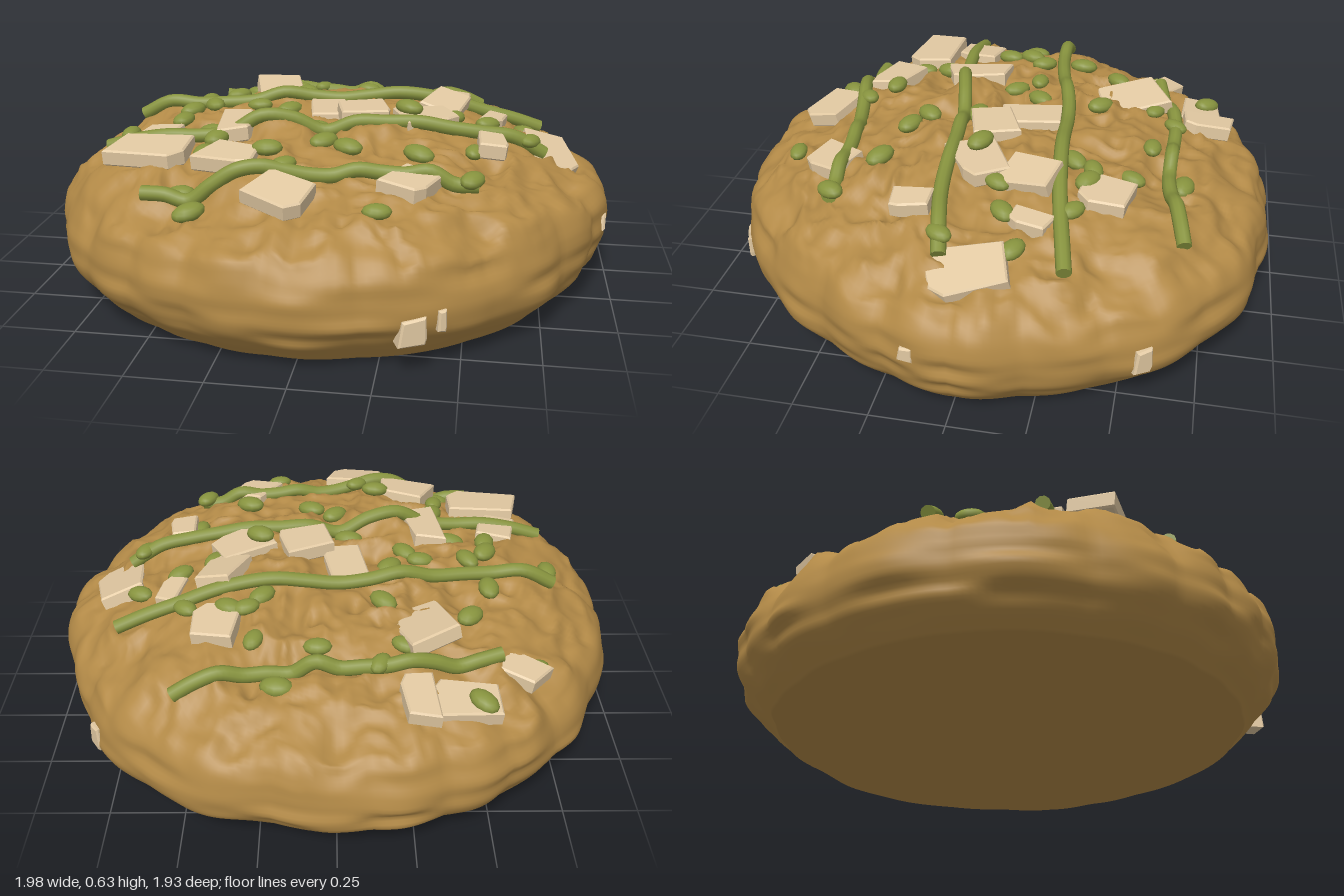
import * as THREE from 'three';
import { mergeVertices } from 'three/addons/utils/BufferGeometryUtils.js';

const mat = (name, color, extra = {}) => {
  const m = new THREE.MeshStandardMaterial({ color, ...extra });
  m.name = name;
  return m;
};

// Seeded hash and smooth 3D value noise in -1..1
const hash = (x, y, z) => {
  const s = Math.sin(x * 127.1 + y * 311.7 + z * 74.7) * 43758.5453;
  return s - Math.floor(s);
};
function noise(x, y, z) {
  const ix = Math.floor(x), iy = Math.floor(y), iz = Math.floor(z);
  const f = (t) => t * t * (3 - 2 * t);
  const u = f(x - ix), v = f(y - iy), w = f(z - iz);
  let sum = 0;
  for (let i = 0; i < 8; i++) {
    const a = i & 1, b = (i >> 1) & 1, c = i >> 2;
    sum += hash(ix + a, iy + b, iz + c) * (a ? u : 1 - u) * (b ? v : 1 - v) * (c ? w : 1 - w);
  }
  return sum * 2 - 1;
}
const ridge = (x, y, z) => 0.4 - Math.abs(noise(x, y, z));

// Outline radius every 15 degrees, from +x towards +z
const outline = [
  0.985, 0.955, 0.94, 0.94, 0.942, 0.945, 0.957, 0.962, 0.97, 0.985, 0.985, 0.99,
  0.992, 0.98, 0.978, 0.973, 0.985, 0.965, 0.965, 0.955, 0.985, 0.99, 0.975, 0.965,
];
const outlineAt = (a) => {
  const t = ((a / (2 * Math.PI) + 1) % 1) * 24, i = Math.floor(t);
  return THREE.MathUtils.lerp(outline[i % 24], outline[(i + 1) % 24], THREE.MathUtils.smoothstep(t - i, 0, 1));
};

// Broad swells and hollows of the crown: x, z, radius, rise
const swells = [[-0.66, -0.1, 0.18, 0.035], [-0.66, 0.25, 0.16, 0.035], [-0.4, 0.64, 0.1, -0.065], [-0.6, 0.42, 0.12, 0.03]];

// Thick lumpy round with a flat base, fluted sides and a bumpy crown
function doughGeometry() {
  const side = new THREE.CatmullRomCurve3([
    [0.875, 0], [0.935, 0.065], [0.985, 0.16], [0.985, 0.25], [0.94, 0.335], [0.85, 0.395],
    [0.72, 0.445], [0.5, 0.505], [0.25, 0.535], [0, 0.545],
  ].map(([r, y]) => new THREE.Vector3(r, y, 0)));
  const profile = [new THREE.Vector2(0, 0)];
  for (const p of side.getSpacedPoints(100)) profile.push(new THREE.Vector2(Math.max(p.x, 0), Math.max(p.y, 0)));
  let g = new THREE.LatheGeometry(profile, 260);
  g.deleteAttribute('uv');
  g.deleteAttribute('normal');
  g = mergeVertices(g, 1e-5);
  const pos = g.attributes.position;
  for (let i = 0; i < pos.count; i++) {
    const x = pos.getX(i), y = pos.getY(i), z = pos.getZ(i);
    const r = Math.hypot(x, z), a = Math.atan2(z, x), c = Math.cos(a), s = Math.sin(a);
    const rise = THREE.MathUtils.smoothstep(y, 0.2, 0.43);
    const low = THREE.MathUtils.smoothstep(y, 0, 0.14);
    const edge = THREE.MathUtils.smoothstep(r, 0.5, 0.9);
    const flute = 0.36 - Math.abs(Math.sin(10 * a + 1.2 * Math.sin(3 * a)));
    const lobes = -0.018 * flute * (0.4 + 0.3 * low + 1.1 * rise) - 0.006;
    const strata = 0.014 * noise(c * 5, y * 24, s * 5) * low;
    const k = 1 + (outlineAt(a) / 0.985 - 1 + lobes + strata) * edge;
    let bump = 0.06 * ridge(x * 7 + 3, 1.5, z * 7) + 0.03 * noise(x * 5, 7.5, z * 5)
      + 0.036 * ridge(x * 15, 2.5, z * 15) + 0.008 * noise(x * 34, 5.5, z * 34);
    for (const [sx, sz, rad, h] of swells) bump += h * Math.exp(-((x - sx) ** 2 + (z - sz) ** 2) / rad ** 2);
    pos.setXYZ(i, x * k, y + bump * rise, z * k * (0.965 + 0.035 * low));
  }
  g.computeVertexNormals();
  return g;
}

// Irregular bevelled chunk, lying flat with its thickness along y
function chunkGeometry(w, d, seed, thick = 0.045) {
  const corners = [[-1, -1], [0.75, -1], [1, -0.55], [0.95, 1], [-0.85, 1]];
  const shape = new THREE.Shape(corners.map(([u, v], i) => new THREE.Vector2(
    u * (w / 2 - 0.006) * (0.8 + 0.37 * hash(seed, i, 1)),
    v * (d / 2 - 0.006) * (0.8 + 0.37 * hash(seed, i, 2)))));
  const g = new THREE.ExtrudeGeometry(shape, {
    depth: thick, bevelEnabled: true, bevelThickness: 0.006, bevelSize: 0.006, bevelSegments: 1,
  });
  return g.translate(0, 0, -thick / 2).rotateX(-Math.PI / 2);
}

export function createModel() {
  const root = new THREE.Group();
  root.name = 'toppedRound';
  const doughMat = mat('golden brown dough', 0xb38a47);
  const chunkMat = mat('pale nut', 0xe2c9a2, { flatShading: true });
  const greenMat = mat('olive green', 0x87933e);
  const add = (name, geo, m, parent = root) => {
    const mesh = new THREE.Mesh(geo, m);
    mesh.name = name;
    parent.add(mesh);
    return mesh;
  };
  const group = (name) => {
    const g = new THREE.Group();
    g.name = name;
    root.add(g);
    return g;
  };

  const dough = add('dough', doughGeometry(), doughMat);

  // Height of the crown below a point
  const ray = new THREE.Raycaster();
  const height = (x, z) => {
    ray.set(new THREE.Vector3(x, 2, z), new THREE.Vector3(0, -1, 0));
    const hit = ray.intersectObject(dough)[0];
    return hit ? hit.point.y : 0.3;
  };
  const up = new THREE.Vector3(0, 1, 0);
  const lean = (mesh, nx, nz) =>
    mesh.quaternion.setFromUnitVectors(up, new THREE.Vector3(nx, 1, nz).normalize());

  // Nut chunks on the crown: x, z, width, depth, turn, lean in x, lean in z, lift
  const chunks = group('nutChunks');
  [
    [-0.41, -0.69, 0.22, 0.15, 0.05], [-0.26, -0.72, 0.12, 0.18, 0.1], [-0.6, -0.53, 0.17, 0.13, -0.5],
    [-0.29, -0.43, 0.2, 0.25, 0.4, 0.2, 0.15, 0.025], [0.39, -0.41, 0.17, 0.17, -0.1], [0.39, -0.15, 0.15, 0.19, -0.3, 0.2, 0.2],
    [0.57, -0.19, 0.08, 0.13, -0.2], [0.77, -0.01, 0.17, 0.25, 0.25, 0.36, 0.15, -0.01], [-0.04, -0.09, 0.13, 0.23, 0.2],
    [0.1, 0.03, 0.21, 0.16, 0.3], [0.32, 0.03, 0.21, 0.17, 0.5], [-0.33, 0.17, 0.13, 0.22, 0.2],
    [-0.61, 0.22, 0.14, 0.17, -0.15], [-0.58, 0.4, 0.3, 0.17, -0.05, -0.03, 0.1], [-0.28, 0.49, 0.2, 0.16, -0.3],
    [0.32, 0.55, 0.17, 0.15, -0.4], [-0.08, 0.68, 0.19, 0.16, -0.4, 0.05, 0.25], [0.57, 0.2, 0.1, 0.13, 0.1],
  ].forEach(([x, z, w, d, turn, nx = x * 0.2, nz = z * 0.2, lift = 0.01], i) => {
    const m = add('nutChunk', chunkGeometry(w, d, i + 1).rotateY(turn), chunkMat, chunks);
    m.position.set(x, height(x, z) + lift, z);
    lean(m, nx, nz);
  });

  // Small chunks embedded in the side: x, y, z, width, height
  [
    [0.35, 0.15, 0.86, 0.085, 0.09], [0.43, 0.18, 0.825, 0.03, 0.08],
    [0.94, 0.24, 0.12, 0.055, 0.055], [0.78, 0.19, -0.565, 0.06, 0.1],
  ].forEach(([x, y, z, w, h], i) => {
    const m = add('sideChunk', chunkGeometry(w, h, i + 40, 0.06).rotateX(Math.PI / 2), chunkMat, chunks);
    m.position.set(x, y, z);
    m.rotation.y = Math.atan2(x, z);
  });

  // Wavy green strands laid across the crown: x, z
  const strands = group('strands');
  [
    [[-0.54, -0.52], [-0.36, -0.56], [-0.17, -0.6], [0.02, -0.6], [0.2, -0.6], [0.36, -0.63], [0.52, -0.67]],
    [[-0.77, -0.12], [-0.52, -0.13], [-0.3, -0.17], [-0.1, -0.21], [0.2, -0.23], [0.45, -0.26], [0.75, -0.32]],
    [[-0.78, 0.25], [-0.55, 0.25], [-0.33, 0.23], [-0.05, 0.17], [0.2, 0.14], [0.5, 0.12], [0.75, 0.07]],
    [[-0.54, 0.62], [-0.42, 0.62], [-0.27, 0.61], [-0.08, 0.57], [0.2, 0.52], [0.36, 0.51], [0.53, 0.5]],
  ].forEach((pts) => {
    const plan = new THREE.CatmullRomCurve3(pts.map(([x, z]) => new THREE.Vector3(x, 0, z)));
    const path = plan.getSpacedPoints(14).map((p) => new THREE.Vector3(p.x, height(p.x, p.z) + 0.022, p.z));
    const curve = new THREE.CatmullRomCurve3(path);
    add('strand', new THREE.TubeGeometry(curve, 70, 0.025, 10), greenMat, strands);
    // Flat end caps
    [[0, -1], [1, 1]].forEach(([t, dir]) => {
      const cap = add('strandEnd', new THREE.CircleGeometry(0.025, 10), greenMat, strands);
      cap.position.copy(curve.getPointAt(t));
      cap.lookAt(cap.position.clone().addScaledVector(curve.getTangentAt(t), dir));
    });
  });

  // Green seeds: x, z, turn in degrees, extra height where one rests on something
  const seeds = group('seeds');
  const seedGeo = new THREE.SphereGeometry(1, 12, 8).scale(0.05, 0.025, 0.034);
  [
    [-0.46, -0.71, -45, 0.03], [-0.66, -0.51, 30], [-0.45, -0.36, 45], [-0.53, -0.21, 90], [-0.16, -0.32, -45],
    [0.06, -0.53, 0], [0.19, -0.65, -10], [0.27, -0.48, 70], [0.36, -0.34, -30], [0.25, -0.28, 45],
    [0.3, -0.35, 20], [0.51, -0.31, -40], [0.69, -0.15, -30], [0.55, -0.09, 40], [0.43, -0.05, 60, 0.015],
    [0.27, 0.04, -30, 0.03], [-0.78, 0.02, 90], [-0.47, -0.06, -60], [-0.54, 0, 60], [-0.55, 0.09, 75],
    [-0.43, 0.14, -15], [-0.3, -0.07, 0], [-0.25, 0.01, -50], [-0.19, -0.09, 50], [-0.05, 0.12, -15],
    [0, 0.29, 45], [0.09, 0.34, -25], [0.33, 0.38, -30], [0.51, 0.24, 80], [0.7, 0.08, 60, 0.02],
    [-0.39, 0.41, 80], [-0.37, 0.3, 70], [-0.16, 0.46, 0, 0.015], [-0.09, 0.55, 40, 0.02], [-0.36, 0.71, 40],
    [0.23, 0.72, 10], [-0.42, 0.59, 0, 0.02], [0.51, 0.5, 60, 0.02], [-0.22, -0.52, -30], [-0.14, -0.6, 60, 0.02],
  ].forEach(([x, z, turn, lift = 0], i) => {
    const m = add('seed', seedGeo, greenMat, seeds);
    m.position.set(x, height(x, z) + 0.015 + lift, z);
    lean(m, x * 0.25, z * 0.25);
    m.rotateY(THREE.MathUtils.degToRad(turn));
    m.scale.setScalar(0.9 + 0.25 * hash(i, 2, 8));
  });
  return root;
}
